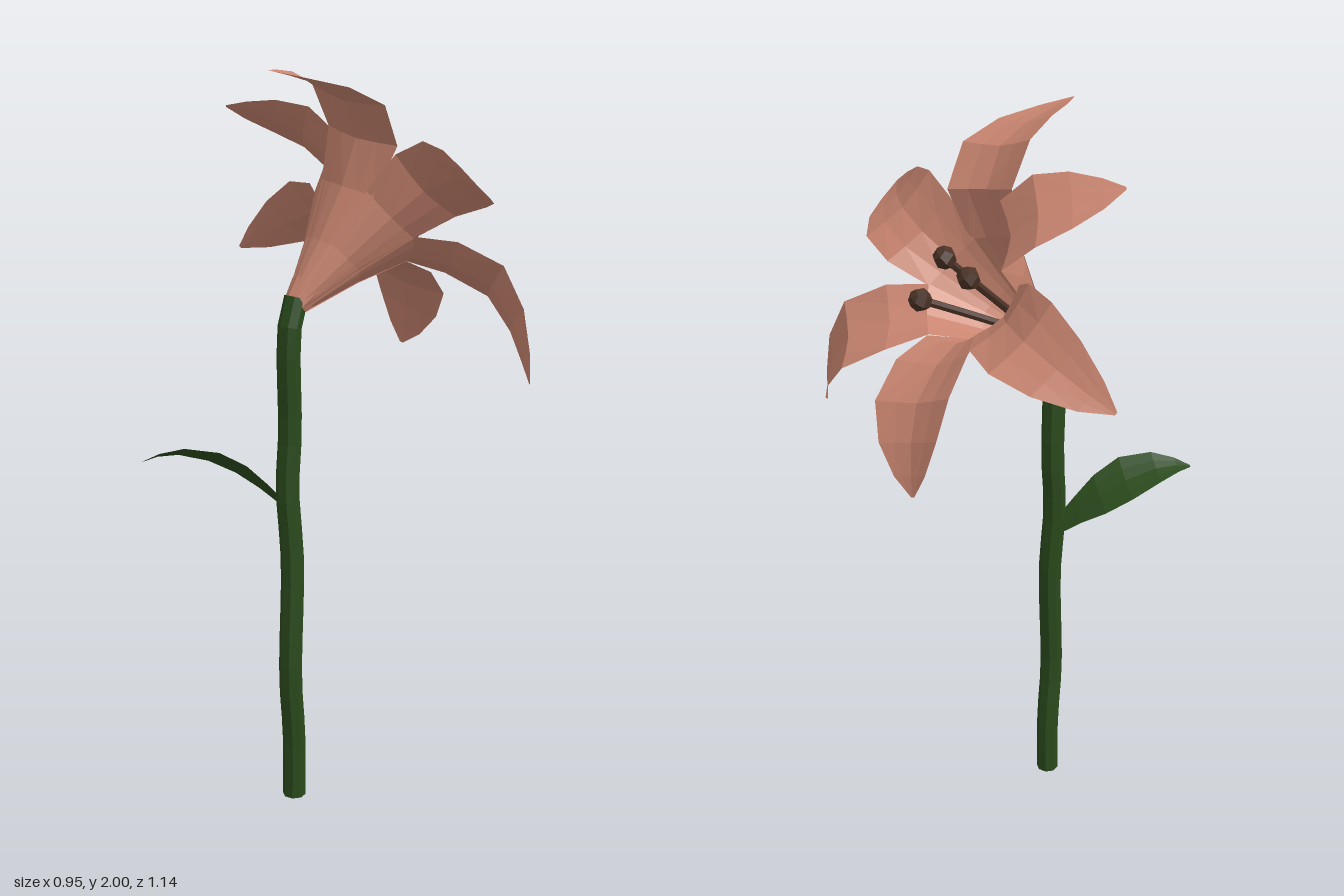
import * as THREE from 'three';

const V = (x, y, z) => new THREE.Vector3(x, y, z);
const mat = (color) => new THREE.MeshStandardMaterial({ color, flatShading: true, side: THREE.DoubleSide });
const petalMat = mat(0xc98570), greenMat = mat(0x2a4a1c), stamenMat = mat(0x4a3226);

function add(parent, name, geometry, material) {
  const mesh = new THREE.Mesh(geometry, material);
  mesh.name = name;
  parent.add(mesh);
  return mesh;
}

// Thin blade: each row has a centre, a side direction, a normal, a half width and a cup depth
function blade(rows) {
  const cols = [-1, -0.5, 0, 0.5, 1], pos = [], idx = [];
  for (const { c, side, normal, w, cup } of rows) {
    for (const s of cols) {
      const p = c.clone().addScaledVector(side, s * w).addScaledVector(normal, cup * w * Math.abs(s) ** 1.4);
      pos.push(p.x, p.y, p.z);
    }
  }
  const n = cols.length;
  for (let i = 0; i < rows.length - 1; i++) {
    for (let j = 0; j < n - 1; j++) {
      const a = i * n + j, b = a + n;
      idx.push(a, a + 1, b, a + 1, b + 1, b);
    }
  }
  const g = new THREE.BufferGeometry();
  g.setAttribute('position', new THREE.Float32BufferAttribute(pos, 3));
  g.setIndex(idx);
  g.computeVertexNormals();
  return g;
}

// Flower frame: base point, axis out of the bloom, and the upward direction across it
const base = V(-0.1, 1.4, 0.03);
const axis = V(0.72, 0.69, 0).normalize();
const up = V(-0.69, 0.72, 0).normalize();
const across = V(0, 0, 1);

// Petal rising in the funnel, then rolling outwards to its tip
function petal(deg, tipR, tipA, peak, wide) {
  const t = THREE.MathUtils.degToRad(deg);
  const out = up.clone().multiplyScalar(Math.cos(t)).addScaledVector(across, Math.sin(t));
  const side = across.clone().multiplyScalar(Math.cos(t)).addScaledVector(up, -Math.sin(t));
  // radius, distance along the axis, half width, cup
  const profile = [
    [0.025, -0.01, 0.02, 0.3],
    [0.09, 0.16, 0.055, 0.3],
    [0.158, 0.3, 0.09, 0.28],
    [tipR * 0.4, peak - 0.02, 0.116, 0.22],
    [tipR * 0.6, peak, 0.12, 0.16],
    [tipR * 0.77, peak * 0.7 + tipA * 0.3, 0.094, 0.14],
    [tipR * 0.91, peak * 0.3 + tipA * 0.7, 0.05, 0.1],
    [tipR, tipA, 0.005, 0],
  ];
  return blade(profile.map(([r, a, w, cup], i) => {
    const p = profile[Math.max(i - 1, 0)], q = profile[Math.min(i + 1, profile.length - 1)];
    const normal = out.clone().multiplyScalar(p[1] - q[1]).addScaledVector(axis, q[0] - p[0]).normalize();
    const sag = -0.022 * Math.sin(Math.PI * i / (profile.length - 1));
    const c = base.clone().addScaledVector(out, r).addScaledVector(axis, a).addScaledVector(up, sag);
    return { c, side, normal, w: w * wide, cup };
  }));
}

export function createModel() {
  const model = new THREE.Group();
  model.name = 'flower';

  // Slightly wavy stem
  const stemPath = new THREE.CatmullRomCurve3([
    V(-0.112, 0, 0.033), V(-0.113, 0.18, 0.035), V(-0.128, 0.36, 0.04), V(-0.114, 0.7, 0.032),
    V(-0.123, 0.9, 0.024), V(-0.114, 1.06, 0.024), V(-0.12, 1.34, 0.032), V(-0.096, 1.42, 0.03),
  ]);
  add(model, 'stem', new THREE.TubeGeometry(stemPath, 18, 0.032, 8), greenMat);
  const foot = add(model, 'stemFoot', new THREE.CircleGeometry(0.032, 8), greenMat);
  foot.rotation.x = Math.PI / 2;
  foot.position.set(-0.112, 0.001, 0.033);

  // Leaf, folded along its midrib and rolled down towards the back
  const leafSide = V(-0.35, 0.38, 0.86).normalize();
  const leafNormal = V(0.25, 0.9, -0.3).normalize();
  const leafRows = [
    [-0.115, 0.845, 0.005, 0.025], [-0.165, 0.9, -0.03, 0.048], [-0.215, 0.945, -0.062, 0.072],
    [-0.285, 0.985, -0.088, 0.08], [-0.37, 1.01, -0.117, 0.057], [-0.43, 1.01, -0.135, 0.027],
    [-0.472, 1.0, -0.145, 0.004],
  ];
  add(model, 'leaf', blade(leafRows.map(([x, y, z, w]) =>
    ({ c: V(x, y, z), side: leafSide, normal: leafNormal, w, cup: 0.12 }))), greenMat);

  // Six petals: angle about the axis, tip radius, tip height, peak height, width factor
  const petals = new THREE.Group();
  petals.name = 'petals';
  model.add(petals);
  [
    [15, 0.58, 0.281, 0.425, 1.02], [74, 0.562, 0.328, 0.405, 1], [137, 0.619, 0.186, 0.36, 0.94],
    [203, 0.584, 0.272, 0.355, 1.06], [259, 0.607, 0.225, 0.37, 0.92], [316, 0.48, 0.359, 0.425, 0.98],
  ].forEach((p) => add(petals, 'petal', petal(...p), petalMat));

  // Small cup joining the petals to the stem
  const cup = add(model, 'flowerBase', new THREE.CylinderGeometry(0.05, 0.03, 0.07, 8, 1, true), petalMat);
  cup.position.copy(base).addScaledVector(axis, 0.025);
  cup.quaternion.setFromUnitVectors(V(0, 1, 0), axis);

  // Stamens: curved filament with a stubby anther
  for (const tip of [V(0.262, 1.58, 0.08), V(0.185, 1.675, 0.083), V(0.172, 1.643, -0.005)]) {
    const stamen = new THREE.Group();
    stamen.name = 'stamen';
    model.add(stamen);
    const mid = base.clone().lerp(tip, 0.55).addScaledVector(axis, 0.02);
    mid.z = THREE.MathUtils.lerp(base.z, tip.z, 0.8);
    const path = new THREE.QuadraticBezierCurve3(base.clone().addScaledVector(axis, 0.03), mid, tip);
    add(stamen, 'filament', new THREE.TubeGeometry(path, 6, 0.011, 6), stamenMat);
    const anther = add(stamen, 'anther', new THREE.SphereGeometry(0.031, 6, 4), stamenMat);
    anther.position.copy(tip);
    anther.quaternion.setFromUnitVectors(V(0, 1, 0), path.getTangent(1));
  }
  return model;
}
